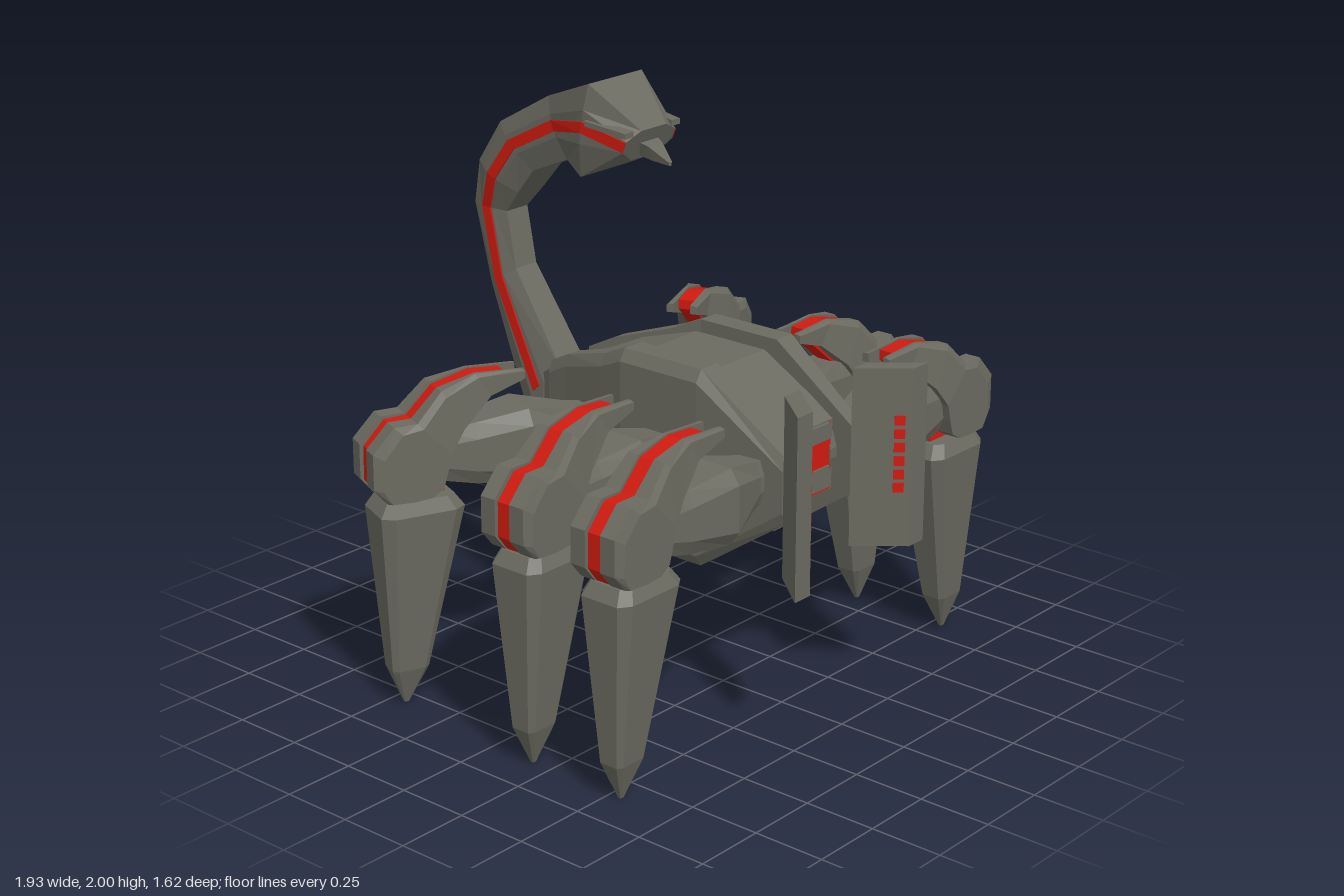
import * as THREE from 'three';

const grey = new THREE.MeshStandardMaterial({ color: 0x6a6a60, flatShading: true });
const red = new THREE.MeshStandardMaterial({ color: 0xd01a10, flatShading: true });

// Flat-faced solid through rings of [x, y, z] points, always turned outwards
function loft(name, rings, material) {
  const tris = [];
  const n = rings[0].length;
  for (let i = 0; i < rings.length - 1; i++) {
    for (let j = 0; j < n; j++) {
      const k = (j + 1) % n;
      const a = rings[i][j], b = rings[i][k], c = rings[i + 1][k], d = rings[i + 1][j];
      tris.push([a, b, c], [a, c, d]);
    }
  }
  const last = rings[rings.length - 1];
  for (let j = 1; j < n - 1; j++) {
    tris.push([rings[0][0], rings[0][j + 1], rings[0][j]], [last[0], last[j], last[j + 1]]);
  }
  const o = new THREE.Vector3(...rings[0][0]);
  let volume = 0;
  for (const t of tris) {
    const [a, b, c] = t.map(p => new THREE.Vector3(...p).sub(o));
    volume += a.dot(b.cross(c));
  }
  if (volume < 0) tris.forEach(t => t.reverse());
  const g = new THREE.BufferGeometry();
  g.setAttribute('position', new THREE.Float32BufferAttribute(tris.flat(2), 3));
  g.computeVertexNormals();
  const mesh = new THREE.Mesh(g, material);
  mesh.name = name;
  return mesh;
}

function box(name, w, h, d, x, y, z, material) {
  const mesh = new THREE.Mesh(new THREE.BoxGeometry(w, h, d), material);
  mesh.position.set(x, y, z);
  mesh.name = name;
  return mesh;
}

function makeBody() {
  const g = new THREE.Group();
  g.name = 'body';
  // Core: z, half width, bottom, top
  const core = [[0.58, 0.14, 0.74, 0.98], [0.29, 0.17, 0.56, 1.145], [0, 0.17, 0.56, 1.145],
    [-0.2, 0.15, 0.62, 1.09], [-0.4, 0.11, 0.7, 1.0], [-0.5, 0.07, 0.75, 0.94]];
  g.add(loft('bodyCore', core.map(([z, w, b, t]) =>
    [[-w, b, z], [w, b, z], [w, t, z], [-w, t, z]]), grey));
  // Front panel with red band
  g.add(box('panelBacking', 0.25, 0.23, 0.02, 0, 0.86, 0.575, red));
  g.add(box('panelUpper', 0.23, 0.055, 0.02, 0, 0.948, 0.582, grey));
  g.add(box('panelLower', 0.23, 0.075, 0.02, 0, 0.792, 0.582, grey));

  // Side shells: z, inner x, outer x, bottom, top
  const shell = [[0.66, 0.15, 0.215, 0.74, 0.96], [0.34, 0.15, 0.255, 0.52, 1.19],
    [0.02, 0.15, 0.255, 0.52, 1.19], [-0.09, 0.13, 0.225, 0.57, 1.14],
    [-0.31, 0.09, 0.155, 0.65, 1.07], [-0.41, 0.07, 0.13, 0.72, 1.02]];
  for (const s of [1, -1]) {
    g.add(loft('sideShell', shell.map(([z, i, o, b, t]) => {
      const c = (o - i) * 0.25;
      return [[i, b, z], [o - c, b, z], [o, b + 0.04, z], [o, t - 0.04, z], [o - c, t, z], [i, t, z]]
        .map(([x, y, zz]) => [s * x, y, zz]);
    }), grey));
    // Slanted shield with a column of red lights on its inner face
    g.add(loft('shield', [0.56, 1.17].map(y =>
      [[0.135, 0.66], [0.21, 0.66], [0.335, 0.81], [0.26, 0.81]].map(([x, z]) => [s * x, y, z])), grey));
    for (let i = 0; i < 6; i++) {
      const light = box('shieldLight', 0.035, 0.032, 0.012, s * 0.234, 0.765 + i * 0.046, 0.779, red);
      light.rotation.y = -s * Math.atan2(0.15, 0.125);
      g.add(light);
    }
  }
  return g;
}

function makeTail() {
  const g = new THREE.Group();
  g.name = 'tail';
  // Outer z, y; inner z, y; half widths outside, middle, inside
  const path = [
    [-0.57, 0.76, -0.44, 0.75, 0.06, 0.08, 0.06],
    [-0.59, 0.82, -0.42, 0.97, 0.06, 0.08, 0.06],
    [-0.74, 1.21, -0.63, 1.28, 0.055, 0.07, 0.05],
    [-0.81, 1.485, -0.667, 1.475, 0.055, 0.065, 0.05],
    [-0.775, 1.64, -0.6, 1.555, 0.065, 0.09, 0.065],
    [-0.67, 1.79, -0.525, 1.645, 0.07, 0.09, 0.07],
    [-0.445, 1.915, -0.375, 1.71, 0.075, 0.09, 0.065],
    [-0.22, 2.0, -0.27, 1.68, 0.13, 0.14, 0.115],
    [-0.055, 1.86, -0.1, 1.755, 0.06, 0.12, 0.06]];
  const at = ([oz, oy, iz, iy], f, x) => [x, oy + (iy - oy) * f, oz + (iz - oz) * f];
  g.add(loft('tailAndHead', path.map(p => {
    const [o, m, i] = p.slice(4);
    return [at(p, 0, -o), at(p, 0, o), at(p, 0.27, m), at(p, 0.63, m),
      at(p, 1, i), at(p, 1, -i), at(p, 0.63, -m), at(p, 0.27, -m)];
  }), grey));
  // Red stripe and cheek fin on each side
  for (const s of [1, -1]) {
    g.add(loft('tailStripe', path.slice(1).map(p => {
      const half = 0.019 / Math.hypot(p[0] - p[2], p[1] - p[3]);
      const x0 = s * (p[5] - 0.02), x1 = s * (p[5] + 0.005);
      return [at(p, 0.45 - half, x0), at(p, 0.45 - half, x1), at(p, 0.45 + half, x1), at(p, 0.45 + half, x0)];
    }), red));
    g.add(loft('cheekFin', [[0.14, 1.865, -0.22], [0.122, 1.845, -0.06]].map(([x, y, z]) =>
      [[x - 0.03, y, z], [x + 0.012, y, z], [x + 0.012, y + 0.018, z], [x - 0.03, y + 0.02, z]]
        .map(([a, b, c]) => [s * a, b, c])), grey));
  }
  // Stinger
  g.add(loft('stinger', [[-0.09, 0.05, 1.765, 1.82], [-0.05, 0.035, 1.755, 1.805], [0.015, 0.008, 1.745, 1.757]]
    .map(([z, w, b, t]) => [[-w, t, z], [w, t, z], [w * 0.5, b, z], [-w * 0.5, b, z]]), grey));
  return g;
}

// One leg pointing along +x, then turned by angle, moved to (dx, dz) and mirrored by side
function makeLeg(name, side, angle, dx, dz) {
  const g = new THREE.Group();
  g.name = name;
  const c = Math.cos(angle), sn = Math.sin(angle);
  const put = ([x, y, z]) => [side * (dx + x * c + z * sn), y, dz - x * sn + z * c];
  const add = (part, rings, mat) => g.add(loft(part, rings.map(r => r.map(put)), mat));

  // Hip arm: x, half depth, bottom, top
  add('hipArm', [[0.12, 0.05, 0.8, 0.93], [0.24, 0.055, 0.79, 0.945], [0.42, 0.115, 0.73, 0.985],
    [0.6, 0.085, 0.75, 0.96], [0.73, 0.07, 0.78, 0.95]].map(([x, w, b, t]) =>
    [[x, b, -w * 0.7], [x, b, w * 0.7], [x, b + 0.05, w], [x, t - 0.05, w],
      [x, t, w * 0.7], [x, t, -w * 0.7], [x, t - 0.05, -w], [x, b + 0.05, -w]]), grey);

  // Arched cover: outer x, y; inner x, y; half depth
  const arch = [[0.42, 1.11, 0.42, 1.08, 0.055], [0.59, 1.12, 0.54, 1.04, 0.055],
    [0.72, 1.09, 0.65, 0.95, 0.085], [0.81, 1.0, 0.7, 0.88, 0.1], [0.89, 1.0, 0.715, 0.82, 0.1],
    [0.965, 0.92, 0.73, 0.77, 0.1], [0.965, 0.8, 0.77, 0.745, 0.1], [0.92, 0.745, 0.83, 0.74, 0.1]];
  for (const s of [1, -1]) {
    add('archPlate', arch.map(([ox, oy, ix, iy, w]) => {
      const mx = ox + (ix - ox) * 0.15, my = oy + (iy - oy) * 0.15;
      return [[ox, oy, s * 0.03], [ox, oy, s * (w - 0.012)], [mx, my, s * w], [ix, iy, s * w], [ix, iy, s * 0.03]];
    }), grey);
  }
  // Red core between the plates
  add('redCore', arch.map(([ox, oy, ix, iy], i) => {
    const f = i ? 0.06 : -0.1;
    const x = ox + (ix - ox) * f + (i ? 0 : 0.06), y = oy + (iy - oy) * f - (i ? 0 : 0.005);
    const x1 = ix + (i ? -0.008 : 0.06), y1 = iy - 0.005;
    return [[x, y, -0.031], [x, y, 0.031], [x1, y1, 0.031], [x1, y1, -0.031]];
  }), red);
  add('kneeJoint', [[0.7, 0.69, 0.84], [0.76, 0.7, 0.82], [0.86, 0.7, 0.8]].map(([x, b, t]) =>
    [[x, b, -0.03], [x, b, 0.03], [x, t, 0.03], [x, t, -0.03]]), red);

  // Tapered shin: y, centre x, half width, half depth
  add('shin', [[0.735, 0.795, 0.115, 0.08], [0.69, 0.793, 0.145, 0.1], [0.13, 0.838, 0.064, 0.046],
    [0, 0.845, 0.008, 0.006]].map(([y, x, w, d]) => {
    const u = w * 0.72, v = d * 0.72;
    return [[-u, -d], [u, -d], [w, -v], [w, v], [u, d], [-u, d], [-w, v], [-w, -v]]
      .map(([a, b]) => [x + a, y, b]);
  }), grey);
  return g;
}

export function createModel() {
  const model = new THREE.Group();
  model.name = 'mechanicalScorpion';
  model.add(makeBody(), makeTail());
  for (const [label, side] of [['left', 1], ['right', -1]]) {
    model.add(makeLeg(label + 'FrontLeg', side, 0, 0, 0.54));
    model.add(makeLeg(label + 'MiddleLeg', side, 0, 0, 0.17));
    model.add(makeLeg(label + 'RearLeg', side, 0.39, 0.02, -0.125));
  }
  return model;
}
